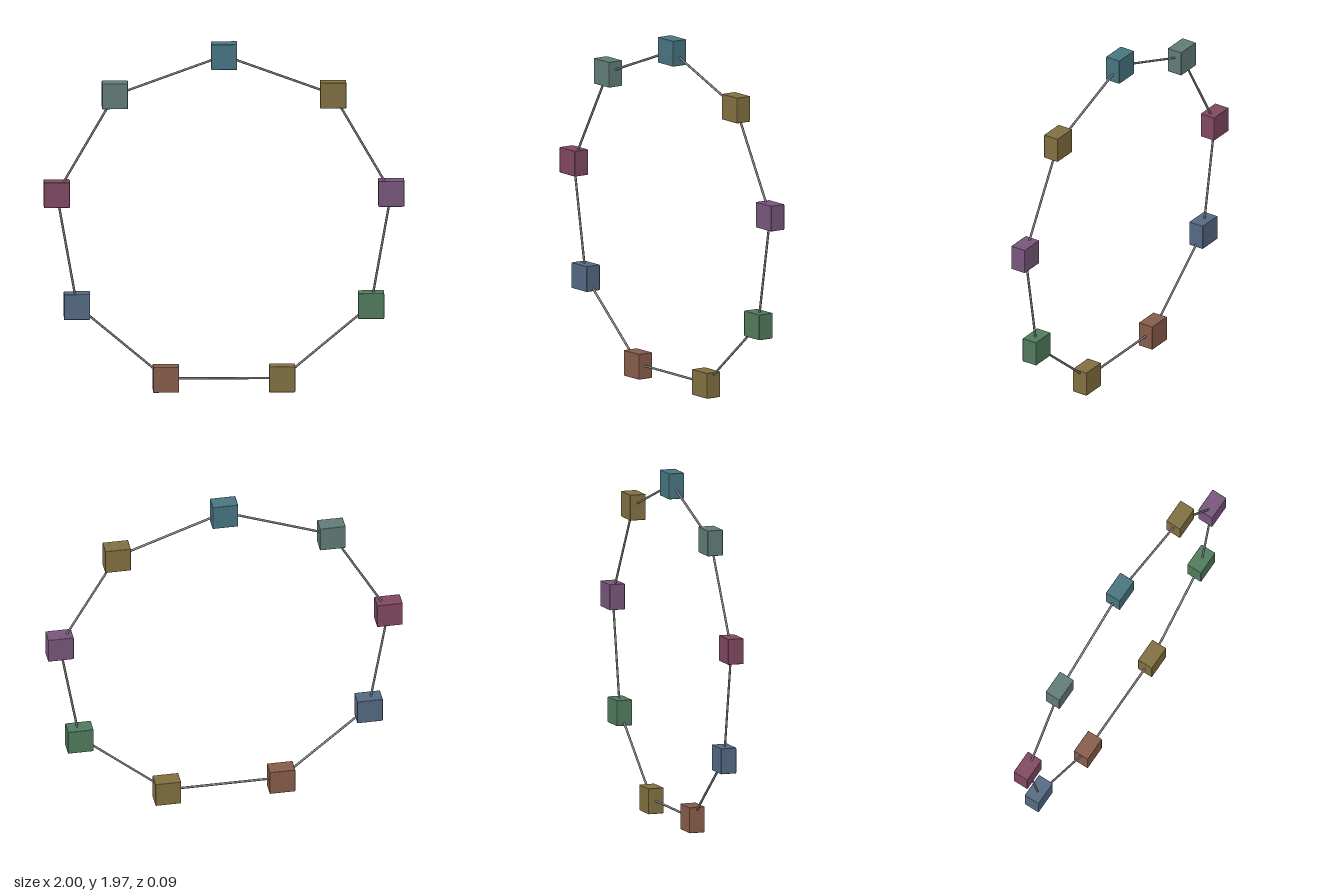
import * as THREE from 'three';
import { RoundedBoxGeometry } from 'three/addons/geometries/RoundedBoxGeometry.js';

const RADIUS = 0.942;
const CENTER_Y = 0.958;
const BEAD = { width: 0.145, depth: 0.092, bevel: 0.004 };
const ROD_RADIUS = 0.0065;

function flat(name, color) {
  const material = new THREE.MeshStandardMaterial({ color });
  material.name = name;
  return material;
}

export function createModel() {
  const model = new THREE.Group();
  model.name = 'blockRing';

  const gold = flat('gold', 0x806f40);
  const steel = flat('steel grey', 0x78787a);

  // Block colours, from the top going towards +x
  const colors = [
    flat('teal', 0x48747f),
    gold,
    flat('purple', 0x77567b),
    flat('green', 0x507a5c),
    gold,
    flat('rust', 0x865c4a),
    flat('slate blue', 0x536982),
    flat('maroon', 0x804861),
    flat('sage', 0x617b77),
  ];
  const count = colors.length;

  const points = colors.map((_, i) => {
    const a = (i / count) * Math.PI * 2;
    return new THREE.Vector3(Math.sin(a) * RADIUS, CENTER_Y + Math.cos(a) * RADIUS, 0);
  });

  // Upright blocks at the corners of the ring
  const blockGeometry = new RoundedBoxGeometry(BEAD.width, BEAD.width, BEAD.depth, 1, BEAD.bevel);
  points.forEach((point, i) => {
    const block = new THREE.Mesh(blockGeometry, colors[i]);
    block.name = `block${i + 1}`;
    block.position.copy(point);
    model.add(block);
  });

  // Thin rods joining neighbouring blocks
  const length = points[0].distanceTo(points[1]);
  const rodGeometry = new THREE.CylinderGeometry(ROD_RADIUS, ROD_RADIUS, length, 8);
  const up = new THREE.Vector3(0, 1, 0);
  points.forEach((point, i) => {
    const next = points[(i + 1) % count];
    const rod = new THREE.Mesh(rodGeometry, steel);
    rod.name = `rod${i + 1}`;
    rod.position.lerpVectors(point, next, 0.5);
    rod.quaternion.setFromUnitVectors(up, next.clone().sub(point).normalize());
    model.add(rod);
  });

  return model;
}
